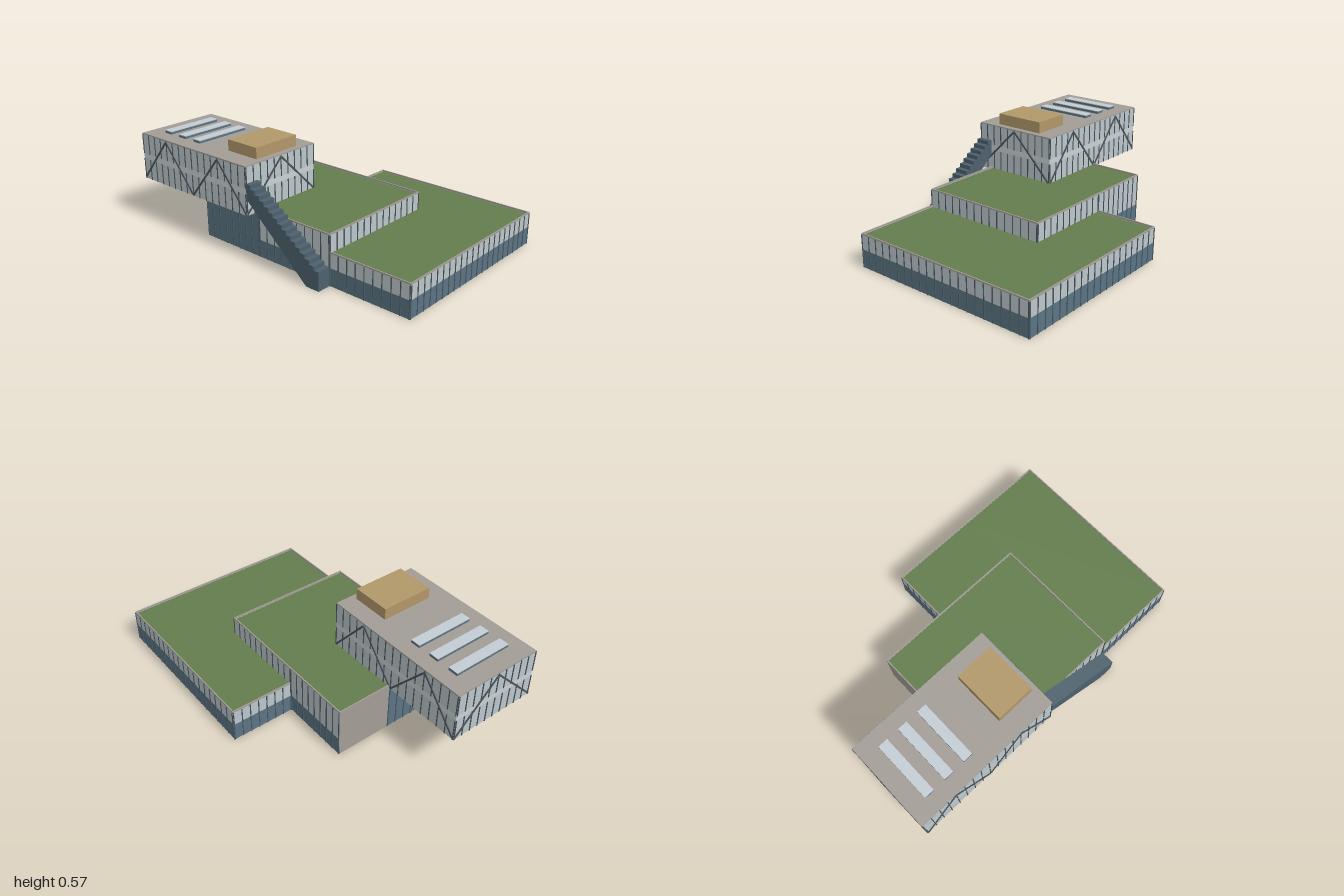
import * as THREE from 'three';

const material = (color, side = THREE.FrontSide) => new THREE.MeshStandardMaterial({ color, side });
const M = {
  blue: material(0x5b7482), glass: material(0xbcc7cb), pale: material(0xc9d2d5),
  taupe: material(0xa39d96), green: material(0x647d4e), wood: material(0xb2986a),
  dark: material(0x4c565b), sky: material(0xc4cdd4), soffit: material(0x6b625c),
  steps: material(0x4d616d),
};

function add(parent, name, geometry, mat) {
  const mesh = new THREE.Mesh(geometry, mat);
  mesh.name = name;
  parent.add(mesh);
  return mesh;
}

// Box given by its limits along each axis
function box(parent, name, mat, x0, x1, y0, y1, z0, z1) {
  const mesh = add(parent, name, new THREE.BoxGeometry(x1 - x0, y1 - y0, z1 - z0), mat);
  mesh.position.set((x0 + x1) / 2, (y0 + y1) / 2, (z0 + z1) / 2);
  return mesh;
}

// Thin facade from a to b made of horizontal bands [y0, y1, material, mullions?];
// its outside is on local +z
function wall(parent, name, [ax, az], [bx, bz], bands, trusses = 0) {
  const g = new THREE.Group();
  g.name = name;
  g.position.set(ax, 0, az);
  g.rotation.y = Math.atan2(az - bz, bx - ax);
  parent.add(g);
  const len = Math.hypot(bx - ax, bz - az);
  const n = Math.max(2, Math.round(len / 0.05));
  for (const [y0, y1, mat, mullions] of bands) {
    box(g, 'panel', mat, 0, len, y0, y1, -0.006, 0);
    if (!mullions) continue;
    for (let i = 0; i <= n; i++) {
      const x = 0.003 + (i / n) * (len - 0.006);
      box(g, 'mullion', mat === M.blue ? M.steps : M.dark, x - 0.0025, x + 0.0025, y0, y1, -0.001, 0.003);
    }
  }
  // Zigzag truss members across the whole height
  const bottom = bands[0][0], top = bands[bands.length - 1][1];
  for (let i = 0; i < trusses; i++) {
    const w = len / trusses, h = top - bottom - 0.01;
    const bar = add(g, 'trussDiagonal', new THREE.BoxGeometry(Math.hypot(w, h) - 0.008, 0.009, 0.005), M.dark);
    bar.position.set((i + 0.5) * w, (bottom + top) / 2, 0.002);
    bar.rotation.z = (i % 2 ? -1 : 1) * Math.atan2(h, w);
  }
  return g;
}

export function createModel() {
  const model = new THREE.Group();
  model.name = 'building';
  // The plan is drawn square to the axes, then turned on its site
  const b = new THREE.Group();
  b.name = 'plan';
  b.rotation.y = 0.7075;
  model.add(b);

  // Plan limits: low wing, middle wing, raised upper block
  const W = -0.364;
  const low = { x: 0.672, z0: -0.23, z1: 0.737, y: 0.18 };
  const mid = { x: 0.338, z0: -0.605, z1: 0.267, y: 0.27 };
  const up = { x0: -0.442, x1: 0.041, z0: -1.02, z1: -0.205, y0: 0.25, y1: 0.51 };

  const base = [0, 0.095, M.blue, true];
  const lowBands = [base, [0.095, low.y - 0.008, M.glass, true], [low.y - 0.008, low.y, M.taupe]];
  const midBands = [base, [0.095, mid.y - 0.008, M.glass, true], [mid.y - 0.008, mid.y, M.taupe]];
  const clerestory = [[0.165, mid.y - 0.008, M.glass, true], [mid.y - 0.008, mid.y, M.taupe]];
  const tallBlue = [[0, 0.25, M.blue, true]];

  // Low wing
  wall(b, 'lowFrontWall', [W, low.z1], [low.x, low.z1], lowBands);
  wall(b, 'lowSideWall', [low.x, low.z1], [low.x, low.z0], lowBands);
  wall(b, 'lowBackWall', [low.x, low.z0], [mid.x, low.z0], lowBands);
  wall(b, 'lowInnerWall', [W, mid.z1], [W, low.z1], lowBands);
  box(b, 'lowRoof', M.green, W + 0.006, low.x - 0.006, 0.158, 0.17, mid.z1 - 0.004, low.z1 - 0.006);
  box(b, 'lowRoof', M.green, mid.x - 0.004, low.x - 0.006, 0.158, 0.17, low.z0 + 0.006, mid.z1 - 0.004);

  // Middle wing
  wall(b, 'midFrontWall', [W, mid.z1], [mid.x, mid.z1], clerestory);
  wall(b, 'midSideWall', [mid.x, mid.z1], [mid.x, low.z0], clerestory);
  wall(b, 'midRearSideWall', [mid.x, low.z0], [mid.x, mid.z0], midBands);
  wall(b, 'midStairWall', [W, up.z1], [W, mid.z1], midBands);
  wall(b, 'midSolidWall', [mid.x, mid.z0], [up.x1, mid.z0], [[0, mid.y, M.taupe]]);
  wall(b, 'undercroftBackWall', [up.x1, mid.z0], [W, mid.z0], tallBlue);
  wall(b, 'undercroftSideWall', [W, mid.z0], [W, up.z1], tallBlue);
  box(b, 'midRoof', M.green, W + 0.006, mid.x - 0.006, 0.248, 0.26, up.z1 - 0.004, mid.z1 - 0.006);
  box(b, 'midRoof', M.green, up.x1 - 0.004, mid.x - 0.006, 0.248, 0.26, mid.z0 + 0.006, up.z1 - 0.004);

  // Raised upper block with trussed glass walls
  const upBands = [
    [up.y0, 0.365, M.glass, true], [0.365, 0.395, M.pale], [0.395, up.y1 - 0.006, M.glass, true],
  ];
  const corners = [[up.x0, up.z1], [up.x1, up.z1], [up.x1, up.z0], [up.x0, up.z0]];
  ['Front', 'Left', 'Back', 'Right'].forEach((side, i) =>
    wall(b, `upper${side}Wall`, corners[i], corners[(i + 1) % 4], upBands, i % 2 ? 4 : 2));
  box(b, 'upperRoof', M.taupe, up.x0, up.x1, up.y1 - 0.008, up.y1, up.z0, up.z1);
  box(b, 'upperSoffit', M.soffit, up.x0 + 0.002, up.x1 - 0.002, up.y0, up.y0 + 0.008, up.z0 + 0.002, mid.z0);
  box(b, 'upperSoffit', M.soffit, up.x0 + 0.002, W, up.y0, up.y0 + 0.008, mid.z0, up.z1 - 0.002);

  // Rooftop: skylights and plant room
  for (const z of [-0.9, -0.782, -0.665]) {
    box(b, 'skylightCurb', M.blue, -0.36, -0.04, up.y1, 0.522, z - 0.026, z + 0.026);
    box(b, 'skylightGlass', M.sky, -0.36, -0.04, 0.522, 0.526, z - 0.026, z + 0.026);
  }
  box(b, 'plantRoom', M.wood, -0.335, -0.055, up.y1, 0.57, -0.444, -0.238);

  // Outside staircase: stepped top, sloping underside, drawn as (z, y)
  const count = 16, run = (mid.z1 - up.z1) / count, rise = 0.34 / count;
  const s = new THREE.Shape();
  s.moveTo(up.z1, 0.34);
  for (let i = 0; i < count; i++) {
    s.lineTo(up.z1 + i * run, 0.42 - i * rise);
    s.lineTo(up.z1 + (i + 1) * run, 0.42 - i * rise);
  }
  s.lineTo(mid.z1, 0);
  s.lineTo(mid.z1 - 0.08, 0);
  const stairs = add(b, 'staircase',
    new THREE.ExtrudeGeometry(s, { depth: W - up.x0 - 0.002, bevelEnabled: false }), M.steps);
  stairs.rotation.y = -Math.PI / 2;
  stairs.position.x = W - 0.002;

  return model;
}
